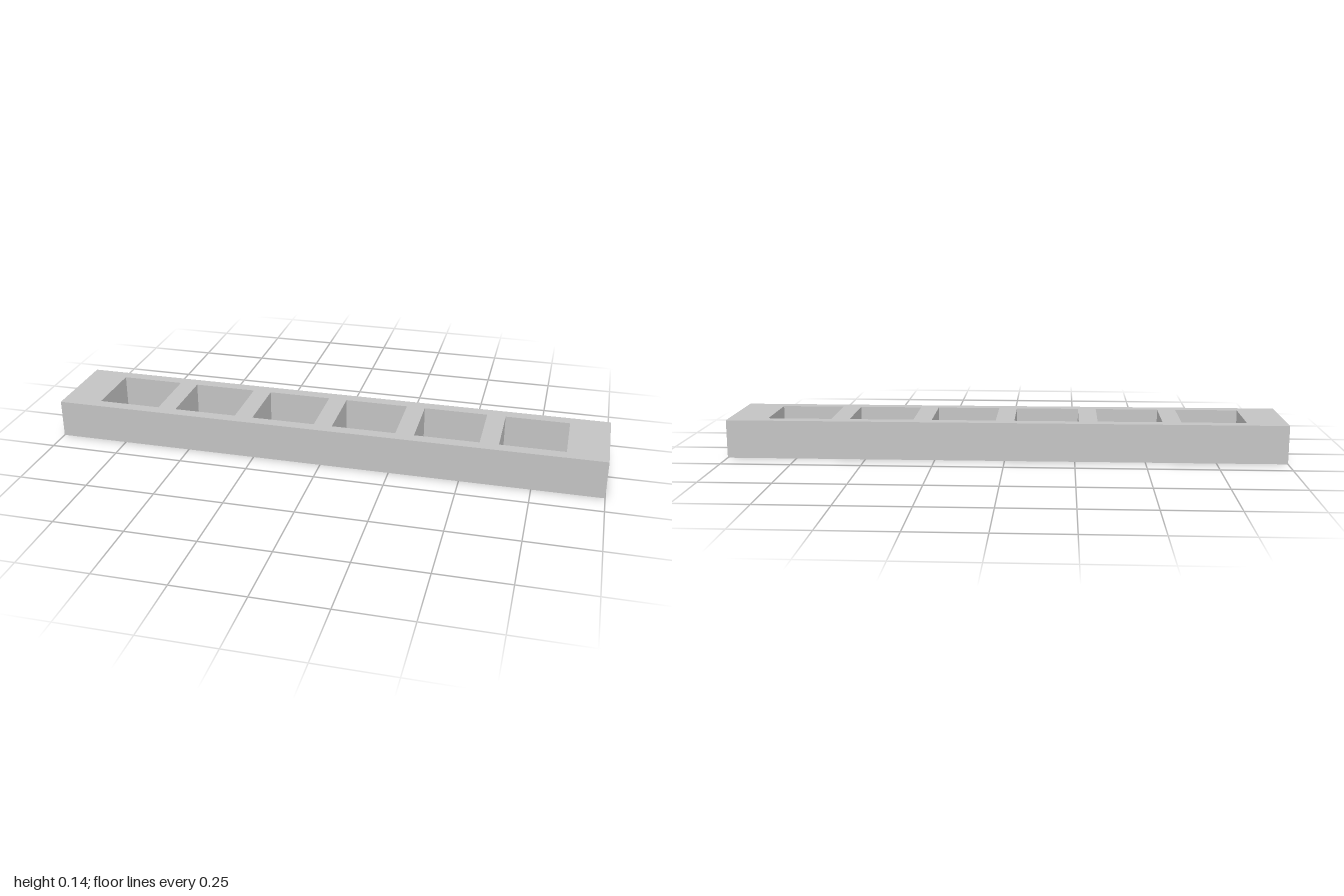
import * as THREE from 'three';

const LENGTH = 2, DEPTH = 0.316, HEIGHT = 0.138;
const HOLES = 6, HOLE_SIZE = 0.23, PITCH = 0.297;

// Rectangle outline centred on (cx, 0)
function rectangle(path, cx, w, h) {
  path.moveTo(cx - w / 2, -h / 2);
  path.lineTo(cx + w / 2, -h / 2);
  path.lineTo(cx + w / 2, h / 2);
  path.lineTo(cx - w / 2, h / 2);
  path.closePath();
  return path;
}

export function createModel() {
  const group = new THREE.Group();
  group.name = 'slottedBar';

  const grey = new THREE.MeshStandardMaterial({ color: 0xc3c3c3 });
  grey.name = 'lightGrey';

  // Bar with a row of square through-holes
  const outline = rectangle(new THREE.Shape(), 0, LENGTH, DEPTH);
  for (let i = 0; i < HOLES; i++) {
    const x = (i - (HOLES - 1) / 2) * PITCH;
    outline.holes.push(rectangle(new THREE.Path(), x, HOLE_SIZE, HOLE_SIZE));
  }
  const geometry = new THREE.ExtrudeGeometry(outline, { depth: HEIGHT, bevelEnabled: false });
  geometry.rotateX(-Math.PI / 2); // lay the extrusion flat, rising from y = 0

  const bar = new THREE.Mesh(geometry, grey);
  bar.name = 'bar';
  group.add(bar);
  return group;
}
